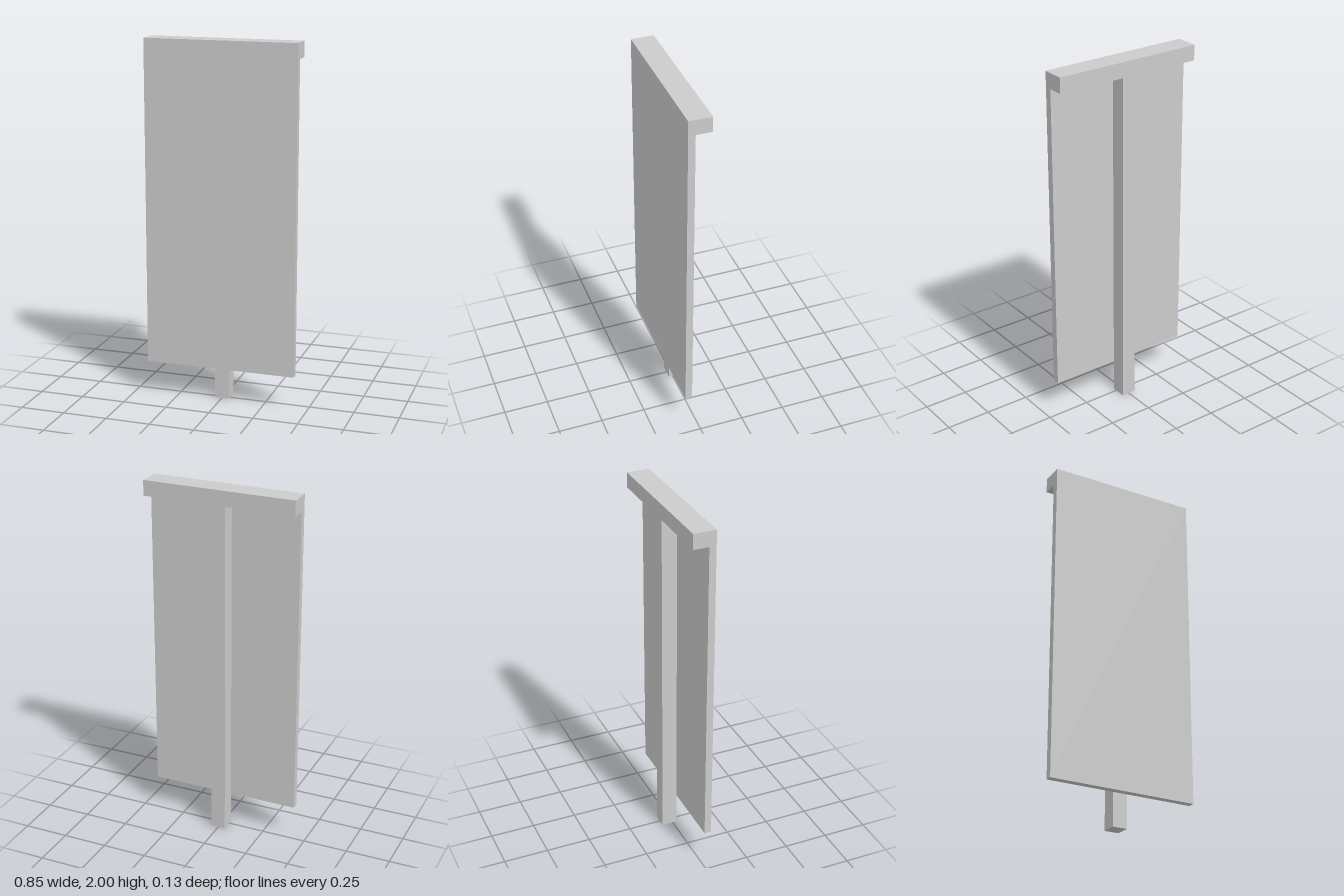
import * as THREE from 'three';

const material = new THREE.MeshStandardMaterial({ color: 0xcccccc, flatShading: true });

// Box given by its lower and upper corners
function box(name, [x0, y0, z0], [x1, y1, z1]) {
  const mesh = new THREE.Mesh(new THREE.BoxGeometry(x1 - x0, y1 - y0, z1 - z0), material);
  mesh.position.set((x0 + x1) / 2, (y0 + y1) / 2, (z0 + z1) / 2);
  mesh.name = name;
  return mesh;
}

export function createModel() {
  const group = new THREE.Group();
  group.name = 'signBoard';

  const halfWidth = 0.425, back = -0.063, front = 0.063;
  const panelBack = 0.024, barBottom = 1.915;

  group.add(
    // Flat board at the front
    box('panel', [-halfWidth, 0.185, panelBack], [halfWidth, 2, front]),
    // Beam along the top, behind the board
    box('crossbar', [-halfWidth, barBottom, back], [halfWidth, 2, panelBack]),
    // Post down the middle of the back, reaching the ground
    box('post', [-0.041, 0, back], [0.041, barBottom, panelBack - 0.001])
  );
  return group;
}
